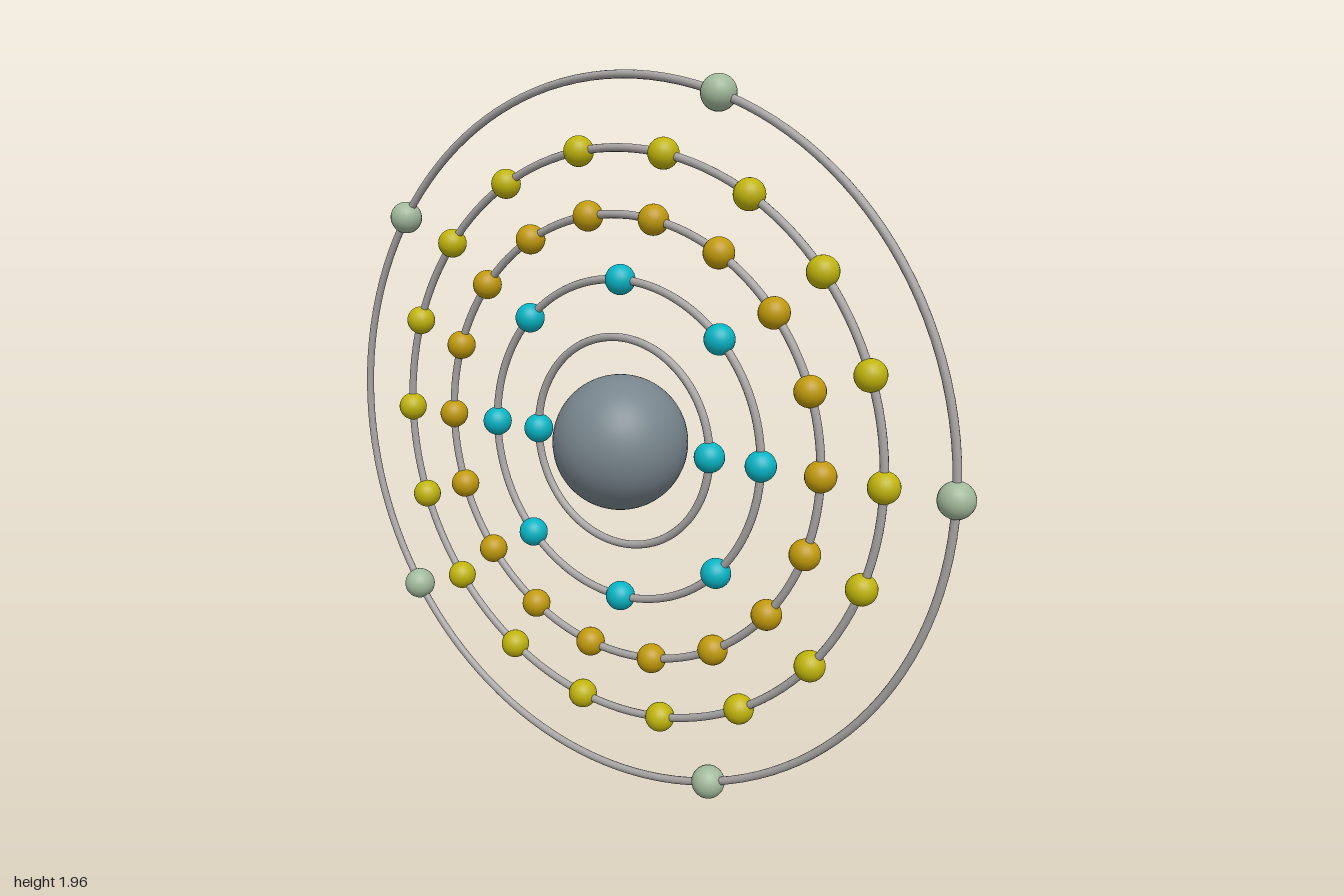
import * as THREE from 'three';

const material = (color) => new THREE.MeshStandardMaterial({ color });

export function createModel() {
  const model = new THREE.Group();
  model.name = 'atomModel';
  model.position.set(-0.021, 0.988, 0);

  // Central nucleus
  const nucleus = new THREE.Mesh(new THREE.SphereGeometry(0.185, 48, 32), material(0x78858d));
  nucleus.name = 'nucleus';
  model.add(nucleus);

  // Concentric shells, each with evenly spaced electrons
  const ringMaterial = material(0xa8a4a4);
  const cyan = material(0x08b4c4);
  const shells = [
    { radius: 0.288, count: 2, size: 0.041, mat: cyan },
    { radius: 0.443, count: 8, size: 0.041, mat: cyan },
    { radius: 0.614, count: 18, size: 0.041, mat: material(0xc09a0c) },
    { radius: 0.785, count: 18, size: 0.041, mat: material(0xc0b40c) },
    { radius: 0.969, count: 5, size: 0.046, mat: material(0xa2b99c) },
  ];

  shells.forEach(({ radius, count, size, mat }, i) => {
    const shell = new THREE.Group();
    shell.name = `shell${i + 1}`;

    const ring = new THREE.Mesh(new THREE.TorusGeometry(radius, 0.011, 12, 128), ringMaterial);
    ring.name = 'orbitRing';
    shell.add(ring);

    const ball = new THREE.SphereGeometry(size, 24, 16);
    for (let k = 0; k < count; k++) {
      const angle = (k / count) * Math.PI * 2;
      const electron = new THREE.Mesh(ball, mat);
      electron.name = 'electron';
      electron.position.set(Math.cos(angle) * radius, Math.sin(angle) * radius, 0);
      shell.add(electron);
    }
    model.add(shell);
  });

  const root = new THREE.Group();
  root.name = 'atom';
  root.add(model);
  return root;
}
